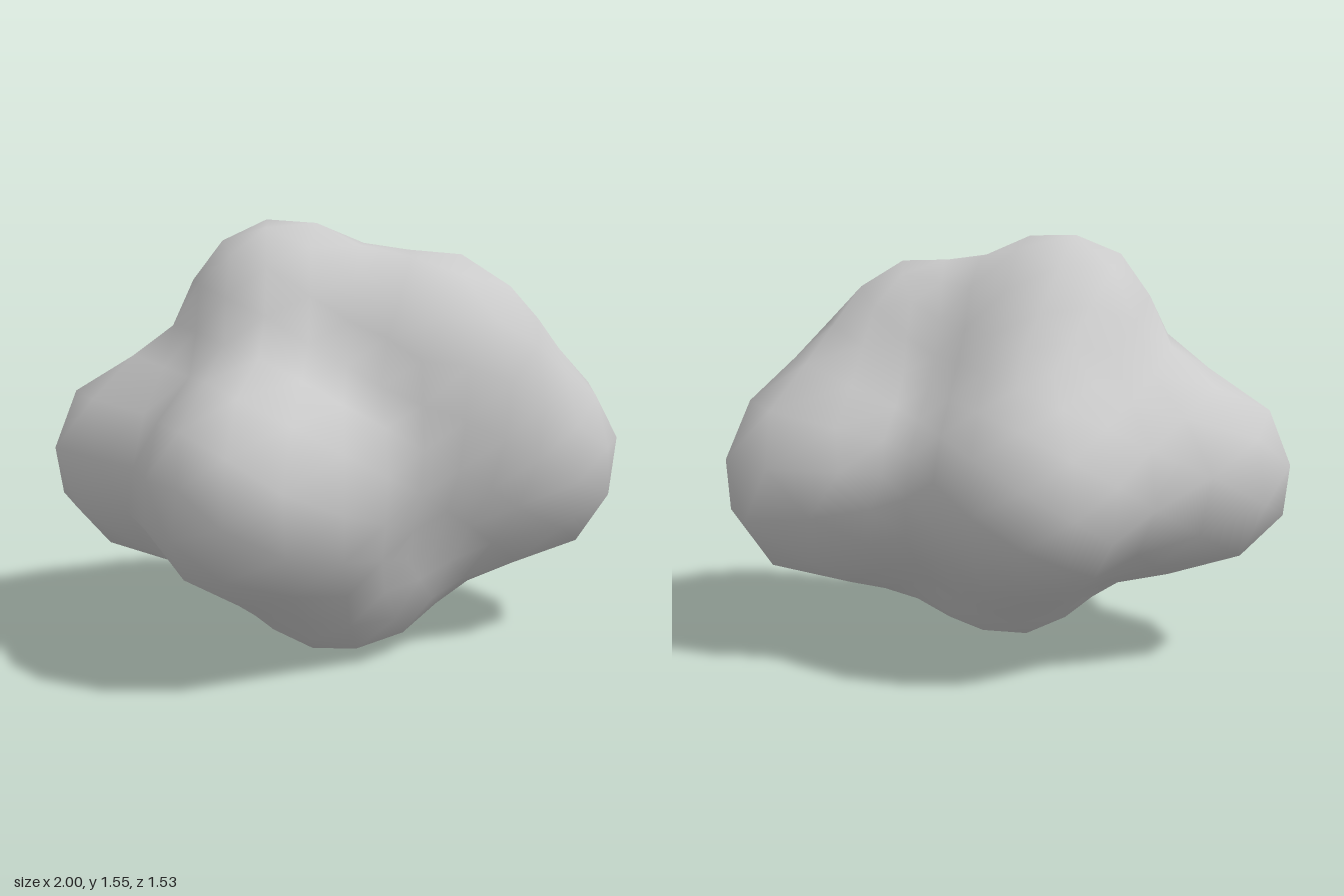
import * as THREE from 'three';
import { mergeVertices } from 'three/addons/utils/BufferGeometryUtils.js';

// Bulges of the rock: centre x, y, z and radius (blending adds about 0.06)
const right = [0.62, 0.66, 0.18, 0.325];
const rightFront = [0.55, 0.75, 0.26, 0.32];
const upperFront = [0.19, 1.08, 0.32, 0.31];
const midFront = [0.15, 0.8, 0.28, 0.32];
const frontCorner = [-0.53, 0.69, 0.37, 0.32];
const lowerFront = [-0.31, 0.52, 0.27, 0.29];
const sideCorner = [-0.65, 0.7, -0.31, 0.295];
const back = [-0.01, 0.7, -0.42, 0.28];
const lowerBack = [-0.03, 0.53, -0.18, 0.29];
const upperBack = [-0.1, 0.98, -0.24, 0.29];
const crown = [-0.21, 1.22, -0.06, 0.285];
const foot = [-0.06, 0.34, 0.16, 0.25];
const footSide = [-0.17, 0.36, 0.18, 0.23];
const thin = (b, r = 0.25) => [b[0], b[1], b[2], r];

// Ridges joining pairs of bulges; thin ones form the shallow valleys
const ridges = [
  [upperFront, right], [upperFront, rightFront], [upperFront, crown],
  [midFront, foot], [frontCorner, lowerFront], [lowerFront, footSide],
  [frontCorner, midFront], [sideCorner, back], [sideCorner, footSide],
  [crown, upperBack], [upperBack, back], [back, lowerBack], [lowerBack, foot], [right, foot],
  [thin(crown), thin(sideCorner)], [thin(crown), thin(frontCorner)],
  [thin(right, 0.27), thin(back, 0.27)], [thin(upperFront), thin(back)],
  [thin(frontCorner), thin(sideCorner)],
].map(([a, b]) => ({
  a: new THREE.Vector3(...a), ab: new THREE.Vector3(b[0] - a[0], b[1] - a[1], b[2] - a[2]),
  ra: a[3], rb: b[3],
}));

// Softly blended distance to all ridges
const BLEND = 0.06;
const q = new THREE.Vector3();
function distance(p) {
  let sum = 0;
  for (const { a, ab, ra, rb } of ridges) {
    q.subVectors(p, a);
    const t = THREE.MathUtils.clamp(q.dot(ab) / ab.lengthSq(), 0, 1);
    const d = q.addScaledVector(ab, -t).length() - THREE.MathUtils.lerp(ra, rb, t);
    sum += Math.exp(-d / BLEND);
  }
  return -BLEND * Math.log(sum);
}

export function createModel() {
  // Shrink a coarse sphere onto the blended bulges
  let geo = new THREE.IcosahedronGeometry(1, 4);
  geo.deleteAttribute('normal');
  geo.deleteAttribute('uv');
  geo = mergeVertices(geo, 1e-4);
  const centre = new THREE.Vector3(-0.03, 0.75, 0.03);
  const pos = geo.attributes.position;
  const dir = new THREE.Vector3();
  const p = new THREE.Vector3();
  for (let i = 0; i < pos.count; i++) {
    dir.fromBufferAttribute(pos, i).normalize();
    let r = 1.6;
    for (let n = 0; n < 80; n++) {
      const d = distance(p.copy(centre).addScaledVector(dir, r));
      if (d < 1e-4) break;
      r -= d * 0.9;
    }
    p.copy(centre).addScaledVector(dir, r);
    pos.setXYZ(i, p.x, p.y, p.z);
  }

  // Centre it and stand it on the floor
  geo.computeBoundingBox();
  const { min, max } = geo.boundingBox;
  geo.translate(-(min.x + max.x) / 2, -min.y, -(min.z + max.z) / 2);
  geo.computeVertexNormals();

  const rock = new THREE.Mesh(geo, new THREE.MeshStandardMaterial({ color: 0xcccccc }));
  rock.name = 'rock';
  const group = new THREE.Group();
  group.name = 'boulder';
  group.add(rock);
  return group;
}
